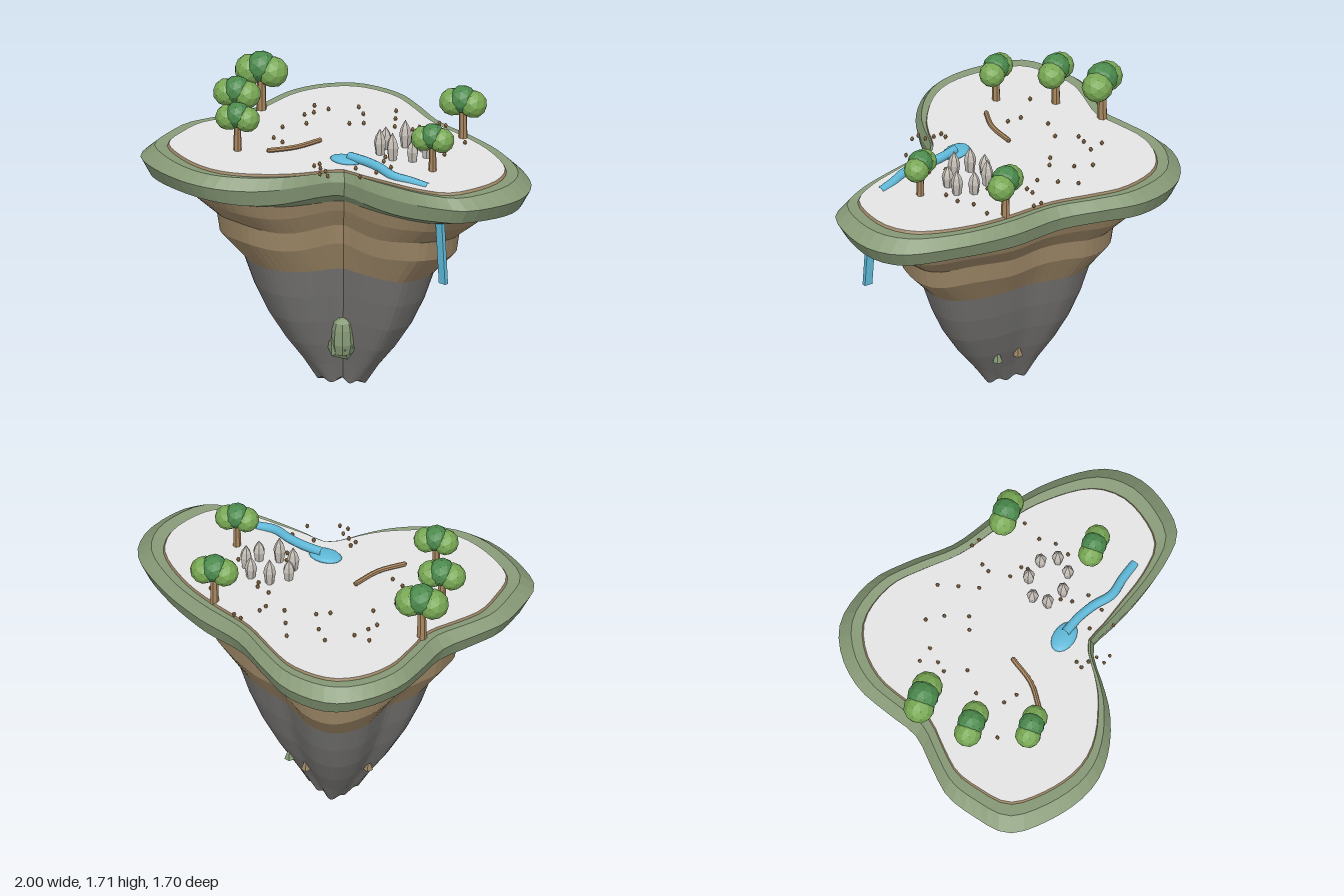
import * as THREE from 'three';

const mat = (name, color, flatShading = true) => {
  const m = new THREE.MeshStandardMaterial({ color, flatShading });
  m.name = name;
  return m;
};

export function createModel() {
  const M = {
    turf: mat('mossGreen', 0x879a77),
    earth: mat('earthBrown', 0x9b8565),
    rock: mat('darkRock', 0x737270),
    ground: mat('paleGround', 0xe4e4e4),
    water: mat('water', 0x5fb9d8, false),
    leafDark: mat('darkLeaf', 0x4b8a4d),
    leafLight: mat('lightLeaf', 0x78a854),
    stone: mat('stoneGrey', 0xc6c0b8),
    wood: mat('wood', 0xa8865e),
    pebble: mat('pebbleBrown', 0xb08450),
  };
  const root = new THREE.Group();
  root.name = 'floatingIsland';
  const add = (parent, name, geo, material, pos = [0, 0, 0]) => {
    const mesh = new THREE.Mesh(geo, material);
    mesh.name = name;
    mesh.position.set(...pos);
    parent.add(mesh);
    return mesh;
  };
  const group = (name) => {
    const g = new THREE.Group();
    g.name = name;
    root.add(g);
    return g;
  };

  // Three-lobed outline of the island at its widest level (x, z)
  const outline = new THREE.CatmullRomCurve3([
    [1.0, -.19], [.94, .02], [.78, .11], [.54, .17], [.30, .20], [.18, .21], [.12, .28],
    [.07, .40], [-.01, .56], [-.14, .71], [-.29, .81], [-.45, .848], [-.69, .82], [-.89, .73],
    [-.97, .53], [-1.0, .36], [-.96, .19], [-.90, -.02], [-.93, -.21], [-.957, -.43],
    [-.90, -.64], [-.77, -.79], [-.50, -.855], [-.26, -.80], [-.02, -.72], [.30, -.705],
    [.59, -.655], [.88, -.52], [.983, -.365],
  ].map(([x, z]) => new THREE.Vector3(x, 0, z)), true);
  const N = 84;
  const rim = outline.getSpacedPoints(N).slice(0, N);
  const CX = -.14, CZ = -.07;

  // Skin over scaled copies of the outline: rings are [scale, y, pinch, wobble]
  const skin = (rings) => {
    const pos = [], idx = [];
    for (const [s, y, pinch = 0, wobble = 0] of rings) {
      rim.forEach((p, j) => {
        const dx = p.x - CX, dz = p.z - CZ;
        const near = 1 - THREE.MathUtils.smoothstep(Math.hypot(dx, dz), .4, .75);
        const k = s + (1 - s) * pinch * near;
        const a = (j / N) * Math.PI * 2;
        pos.push(CX + dx * k, y + wobble * Math.sin(a * 7), CZ + dz * k);
      });
    }
    for (let i = 0; i < rings.length - 1; i++) {
      for (let j = 0; j < N; j++) {
        const a = i * N + j, b = i * N + (j + 1) % N;
        idx.push(a, b, a + N, b, b + N, a + N);
      }
    }
    const geo = new THREE.BufferGeometry();
    geo.setAttribute('position', new THREE.Float32BufferAttribute(pos, 3));
    geo.setIndex(idx);
    geo.computeVertexNormals();
    return geo;
  };

  // Island body from the ground plate down to the tip
  add(root, 'groundPlate', skin([[0, 1.382], [.5, 1.382], [.86, 1.382, .5]]), M.ground);
  add(root, 'earthLip', skin([[.86, 1.382, .5], [.868, 1.368, .5]]), M.earth);
  add(root, 'turfRim', skin([
    [.868, 1.368, .5], [.93, 1.374, .4], [1, 1.315, 0, .006], [.955, 1.225, 0, .01], [.77, 1.17],
  ]), M.turf);
  add(root, 'earthStrata', skin([
    [.78, 1.18], [.735, 1.10, 0, .01], [.622, .995, 0, .012], [.607, .885, 0, .01], [.487, .73],
  ]), M.earth);
  add(root, 'rockBase', skin([
    [.487, .73], [.437, .57], [.37, .41], [.285, .26], [.195, .13], [.125, .02, 0, .012], [0, .01],
  ]), M.rock);

  // Trees: [x, z, size]
  const trees = group('trees');
  for (const [x, z, k] of [
    [-.795, -.08, 1.12], [-.69, .2, 1], [-.45, .42, .93], [.25, -.6, 1], [.49, -.15, .91],
  ]) {
    const tree = new THREE.Group();
    tree.name = 'tree';
    tree.position.set(x, 1.37, z);
    tree.scale.setScalar(k);
    trees.add(tree);
    add(tree, 'trunk', new THREE.CylinderGeometry(.02, .025, .2, 7), M.wood, [0, .1, 0]);
    add(tree, 'crown', new THREE.IcosahedronGeometry(.078, 1), M.leafDark, [0, .235, 0]);
    for (const s of [-1, 1]) {
      add(tree, 'sideFoliage', new THREE.IcosahedronGeometry(.077, 1), M.leafLight,
        [s * .05, .213, -s * .028]);
    }
  }

  // Ring of pointed standing stones: [x, z, height]
  const stones = group('standingStones');
  for (const [x, z, h] of [
    [.135, -.28, .17], [.245, -.31, .15], [.325, -.26, .16], [.315, -.165, .14],
    [.225, -.10, .17], [.12, -.105, .16], [.08, -.185, .14],
  ]) {
    const profile = [[0, 0], [.022, 0], [.034, .5 * h], [.025, .72 * h], [0, h]];
    const g = new THREE.LatheGeometry(profile.map(([r, y]) => new THREE.Vector2(r, y)), 6);
    add(stones, 'standingStone', g, M.stone, [x, 1.37, z]).rotation.y = x * 9;
  }

  // Pool, stream and waterfall
  const path = (pts) => new THREE.CatmullRomCurve3(pts.map((p) => new THREE.Vector3(...p)));
  const pool = add(root, 'pool', new THREE.SphereGeometry(1, 16, 8), M.water, [.065, 1.388, .095]);
  pool.scale.set(.095, .02, .062);
  pool.rotation.y = .3;
  const stream = path([[.08, 1.41, .085], [.2, 1.407, .065], [.3, 1.402, .065],
    [.42, 1.393, .08], [.53, 1.383, .045], [.635, 1.372, .02]]);
  add(root, 'stream', new THREE.TubeGeometry(stream, 24, .025, 10), M.water);
  add(root, 'waterfall', new THREE.BoxGeometry(.05, .38, .022), M.water, [.722, 1.025, 0])
    .rotation.z = .075;

  // Fallen log with rounded ends
  const logPath = path([[-.23, 1.394, .015], [-.245, 1.394, .18], [-.308, 1.394, .32]]);
  add(root, 'fallenLog', new THREE.TubeGeometry(logPath, 8, .014, 7), M.wood);
  for (const t of [0, 1]) {
    const end = logPath.getPoint(t);
    add(root, 'logEnd', new THREE.SphereGeometry(.014, 7, 4), M.wood, end.toArray());
  }

  // Scattered pebbles, x and z in hundredths
  const pebbles = group('pebbles');
  const spots = [
    -26, -58, -18, -50, -44, -47, -35, -42, -10, -42, 0, -51, 0, -46, -25, -33, -30, -27,
    -62, -31, -53, -33, -55, -24, -56, -18, -46, -10, -51, 3, -43, 17, -35, 18, -59, 30,
    7, -36, 15, -36, 17, -33, 38, -34, 33, -42, 33, -54, 39, -25, 23, -3, 32, 0, 19, -8,
    32, 11, 20, 15, 2, 25, 2, 29, 12, 30, 7, 29, 13, 35, 18, 34, 31, 22, 3, -63, 8, -63,
  ];
  const pebbleGeo = new THREE.IcosahedronGeometry(.011, 0);
  for (let i = 0; i < spots.length; i += 2) {
    add(pebbles, 'pebble', pebbleGeo, M.pebble, [spots[i] / 100, 1.393, spots[i + 1] / 100])
      .scale.y = 1.4;
  }

  // Boulders set into the rock base
  const boulder = new THREE.LatheGeometry(
    [[0, .2], [.05, .22], [.064, .28], [.058, .36], [.048, .4], [.025, .42], [0, .424]]
      .map(([r, y]) => new THREE.Vector2(r, y)), 8);
  add(root, 'mossyBoulder', boulder, M.turf, [-.02, 0, .04]);
  add(root, 'mossyBoulderFoot', new THREE.IcosahedronGeometry(.088, 0), M.turf, [-.045, .255, .025]);
  const spike = new THREE.ConeGeometry(.028, .08, 5);
  add(root, 'mossySpike', spike, M.turf, [.03, .25, -.235]);
  add(root, 'earthSpike', spike, M.earth, [-.1, .25, -.245]);
  add(root, 'earthSpike', spike, M.earth, [-.35, .25, -.02]);

  return root;
}
